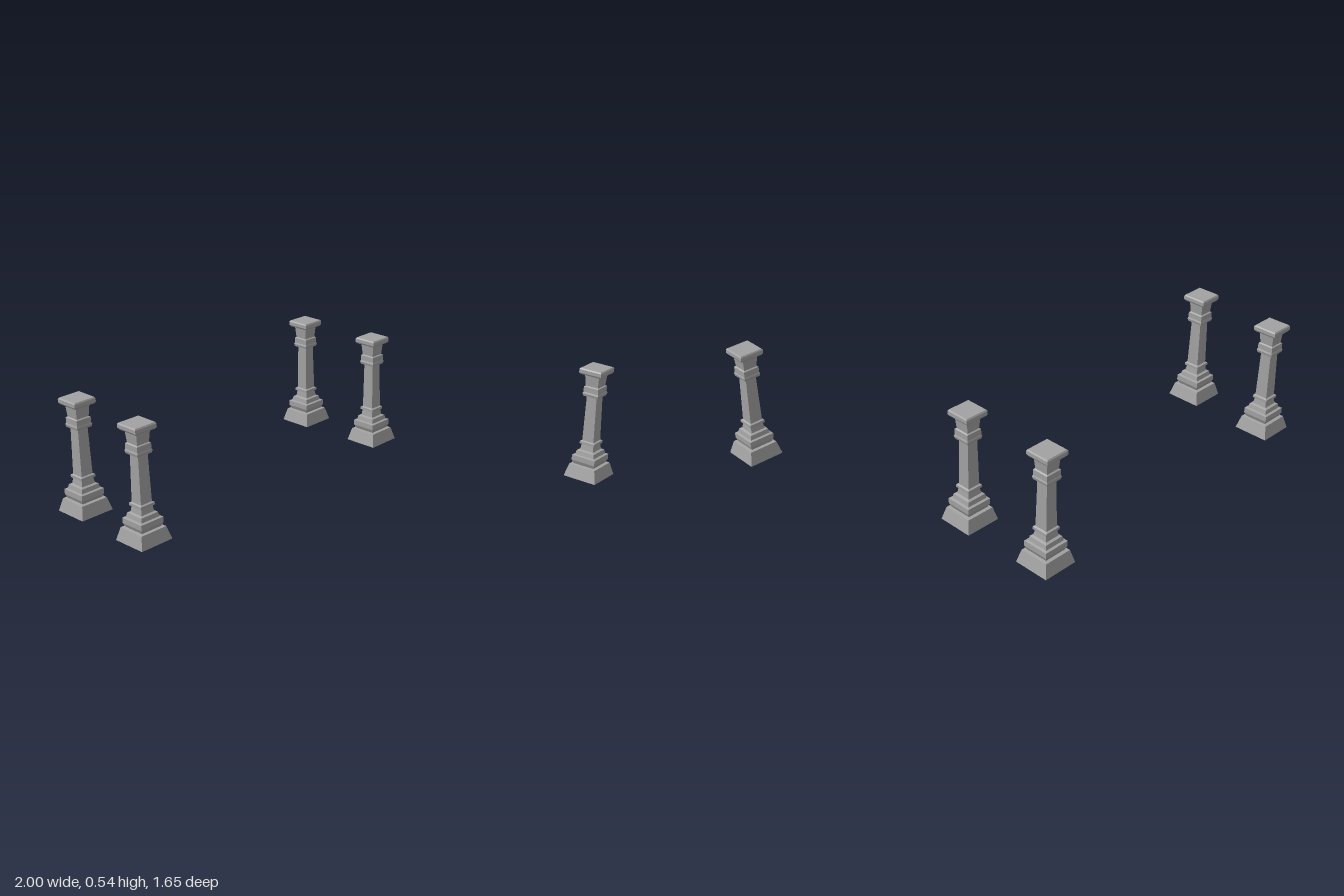
import * as THREE from 'three';

// Half-widths and heights of the square column, bottom to top
const PROFILE = [
  [0.084, 0], [0.068, 0.06],                                  // plinth
  [0.053, 0.062], [0.061, 0.08], [0.061, 0.105],              // lower moulding
  [0.05, 0.108], [0.046, 0.128], [0.035, 0.132], [0.031, 0.16], // stepped foot
  [0.038, 0.162], [0.038, 0.174], [0.03, 0.178],              // foot band
  [0.026, 0.397],                                             // shaft
  [0.038, 0.4], [0.041, 0.412], [0.038, 0.42], [0.038, 0.445], // neck band
  [0.032, 0.449], [0.037, 0.505],                             // flared neck
  [0.052, 0.506], [0.057, 0.514], [0.057, 0.53], [0.053, 0.536], [0, 0.536], // cap
];

// Column centres: x, z
const PLACES = [
  [-0.9, -0.727], [-0.916, -0.312], [0.55, -0.74], [0.569, -0.312], [0.915, 0.74],
];

export function createModel() {
  const stone = new THREE.MeshStandardMaterial({ color: 0xa2a2a2 });
  stone.name = 'stone';
  stone.flatShading = true;
  stone.side = THREE.DoubleSide; // hollow, open underneath

  // A four-sided lathe turned 45 degrees gives the square section
  const points = PROFILE.map(([w, y]) => new THREE.Vector2(w * Math.SQRT2, y));
  const geometry = new THREE.LatheGeometry(points, 4, Math.PI / 4).toNonIndexed();
  geometry.computeVertexNormals();

  const group = new THREE.Group();
  group.name = 'columns';
  PLACES.forEach(([x, z], i) => {
    const column = new THREE.Mesh(geometry, stone);
    column.name = `column${i + 1}`;
    column.position.set(x, 0, z);
    group.add(column);
  });
  return group;
}
